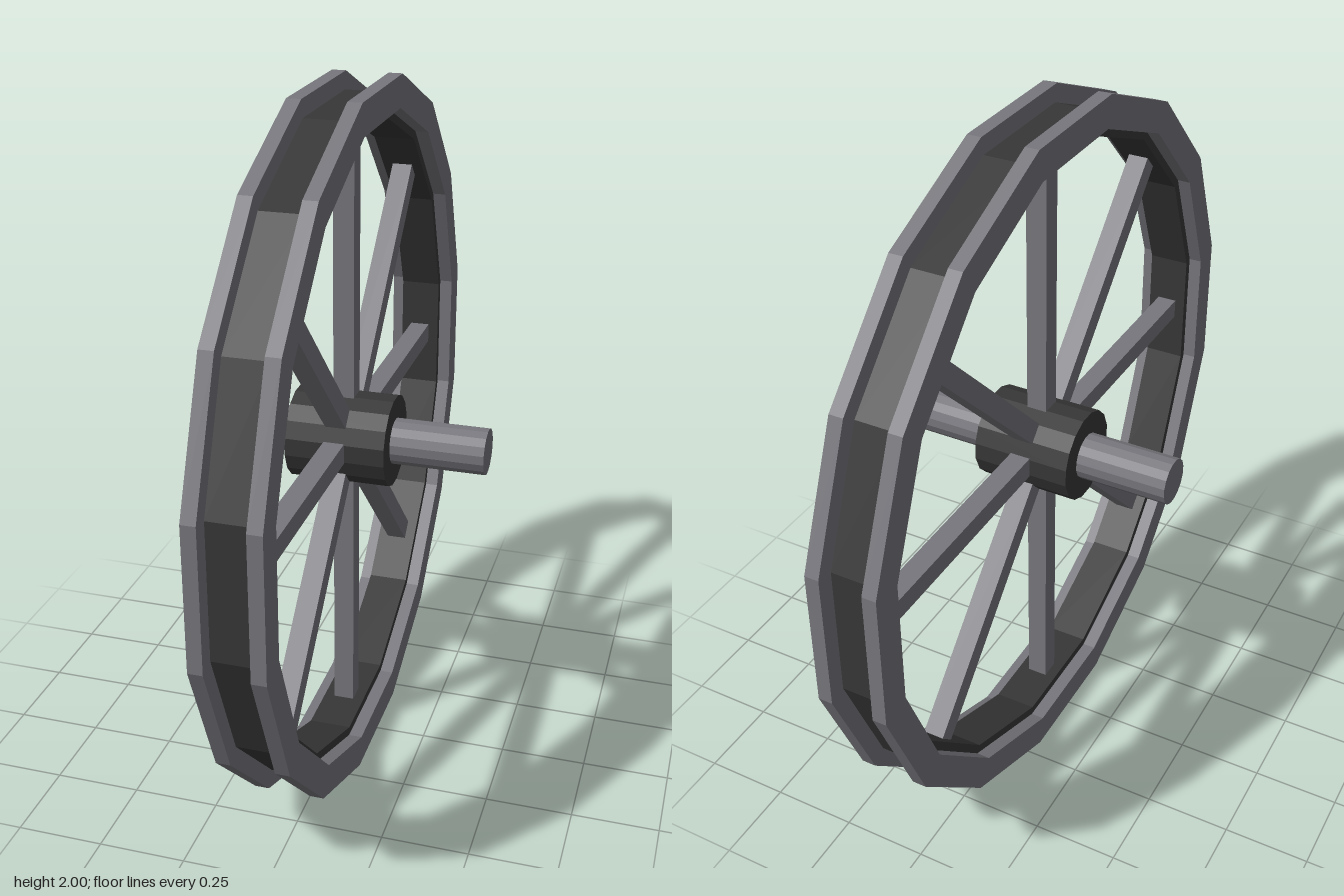
import * as THREE from 'three';

const SIDES = 16;
const STEP = (Math.PI * 2) / SIDES;

// Regular polygon with flat sides up, down, front and back, sized by its apothem
function polygon(path, apothem) {
  const r = apothem / Math.cos(STEP / 2);
  const points = [];
  for (let i = 0; i < SIDES; i++) {
    const a = (i + 0.5) * STEP;
    points.push(new THREE.Vector2(Math.cos(a) * r, Math.sin(a) * r));
  }
  return path.setFromPoints(points);
}

// Polygonal ring whose axis is x, centred on the origin
function ringGeometry(outer, inner, width) {
  const shape = polygon(new THREE.Shape(), outer);
  shape.holes.push(polygon(new THREE.Path(), inner));
  const geometry = new THREE.ExtrudeGeometry(shape, { depth: width, bevelEnabled: false });
  return geometry.translate(0, 0, -width / 2).rotateY(Math.PI / 2);
}

// Closed cylinder whose axis is x
function barGeometry(radius, length) {
  return new THREE.CylinderGeometry(radius, radius, length, SIDES)
    .rotateY(STEP / 2)
    .rotateZ(Math.PI / 2);
}

export function createModel() {
  const steel = new THREE.MeshStandardMaterial({ name: 'grey steel', color: 0x77777d, flatShading: true });
  const iron = new THREE.MeshStandardMaterial({ name: 'dark iron', color: 0x373737, flatShading: true });

  const model = new THREE.Group();
  model.name = 'spokedWheel';
  const wheel = new THREE.Group();
  wheel.name = 'wheel';
  wheel.position.y = 1;
  model.add(wheel);

  const add = (name, geometry, material) => {
    const mesh = new THREE.Mesh(geometry, material);
    mesh.name = name;
    wheel.add(mesh);
    return mesh;
  };

  // Dark rim with a raised flange on each side, forming a groove
  add('rim', ringGeometry(0.95, 0.885, 0.122), iron);
  for (const side of [1, -1]) {
    const flange = add(side > 0 ? 'leftFlange' : 'rightFlange', ringGeometry(1, 0.91, 0.04), steel);
    flange.position.x = side * 0.08;
  }

  // Hub and axle
  add('hub', barGeometry(0.133, 0.29), iron);
  add('axle', barGeometry(0.067, 0.83), steel);

  // Eight square spokes from hub to rim
  const spoke = new THREE.BoxGeometry(0.06, 0.81, 0.06).translate(0, 0.495, 0);
  for (let i = 0; i < 8; i++) {
    add('spoke' + (i + 1), spoke, steel).rotation.x = (i * Math.PI) / 4;
  }

  return model;
}
